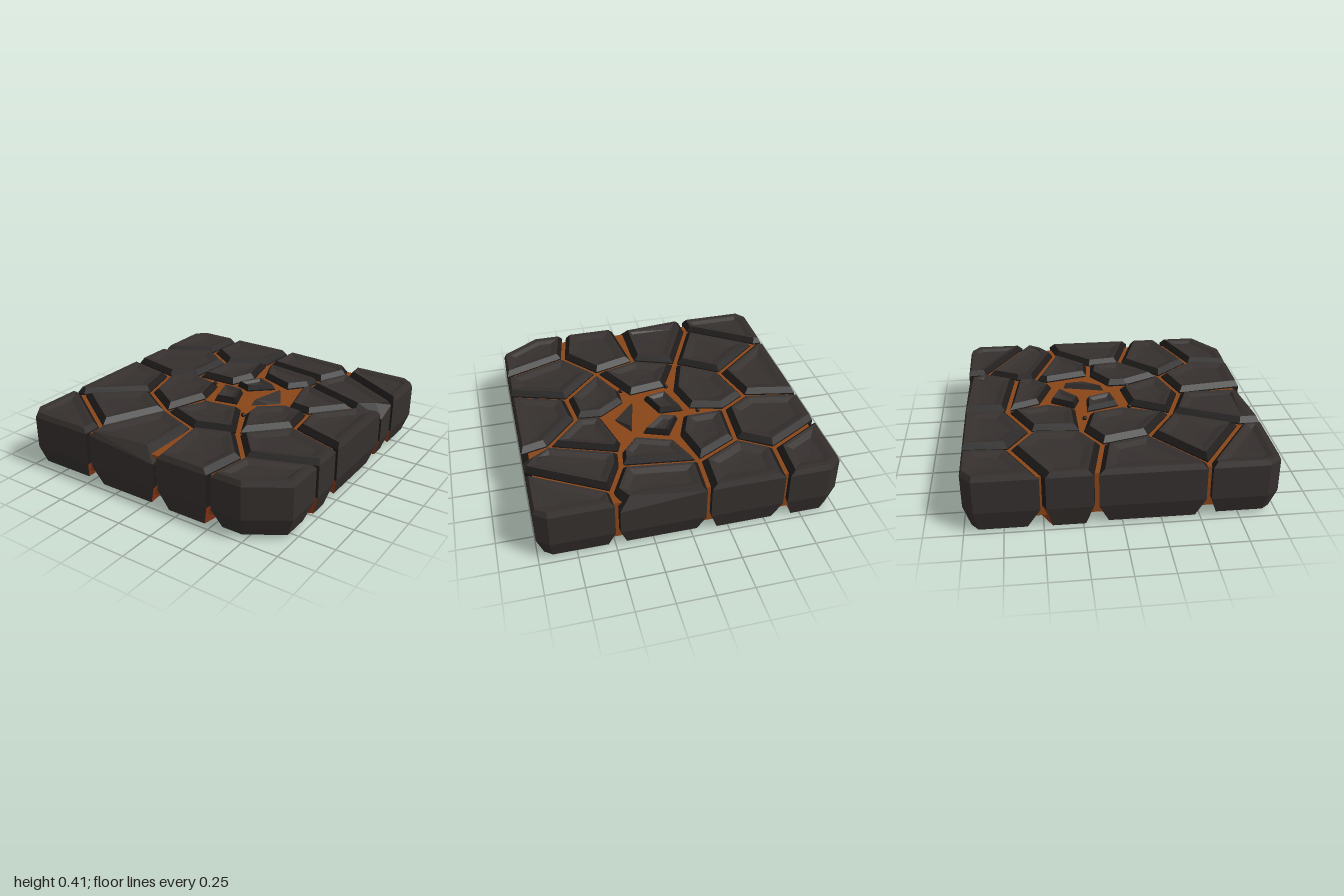
import * as THREE from 'three';
import { ConvexGeometry } from 'three/addons/geometries/ConvexGeometry.js';

// Points where the cracks meet, as [x, z]
const J = {
  A: [-0.635, -0.7], B: [-0.415, -0.555], C: [-0.115, -0.71], D: [0.39, -0.64],
  E: [0.5, -0.865], F: [0.37, -0.505], G: [0.82, -0.335], H: [0.59, -0.08],
  I: [-0.44, -0.215], J: [-0.635, -0.095], K: [-0.55, 0.225], L: [-0.935, 0.54],
  M: [-0.465, 0.86], N: [-0.255, 0.42], O: [0.045, 0.535], P: [0.35, 0.44],
  Q: [0.62, 0.165], R: [0.565, 0.7],
  // where cracks reach the border: north, east, south, west
  n1: [-0.62, -1], n2: [-0.1, -1], n3: [0.49, -1],
  e1: [1, -0.57], e2: [1, -0.38], e3: [1, 0.29], e4: [1, 0.54],
  s1: [-0.46, 1], s2: [0.1, 1], s3: [0.51, 1],
  w1: [-1, -0.5], w2: [-1, -0.17], w3: [-1, 0.54],
  // cut corners of the tile
  a1: [-1, -0.93], a2: [-0.91, -1], b1: [0.92, -1], b2: [1, -0.94],
  c1: [1, 0.83], c2: [0.74, 1], d1: [-0.94, 1], d2: [-1, 0.92],
  // edge of the open pool in the middle
  p1: [0.33, -0.415], p2: [0.41, -0.1], p3: [0.22, 0.03], p4: [0.22, 0.17],
  p5: [0.17, 0.1], p6: [-0.11, 0.14], p7: [-0.14, 0.09], p8: [-0.2, -0.15],
  p9: [-0.13, -0.22], q1: [-0.05, -0.42], q2: [-0.02, -0.47], q3: [0.25, -0.37],
  // two small islands
  i1: [0, -0.42], i2: [0.2, -0.34], i3: [0.02, -0.18], i4: [-0.12, -0.23],
  k1: [-0.18, -0.17], k2: [0.02, -0.16], k3: [0.1, 0.05], k4: [-0.1, 0.09],
};
const CELLS = [
  'w1 a1 a2 n1 A', 'n1 n2 C B A', 'n2 n3 E D C', 'n3 b1 b2 e1 E', 'E e1 e2 G F D',
  'F G H p2 p1', 'G e2 e3 Q H', 'p3 p2 H Q P p4', 'Q e3 e4 R P', 'R e4 c1 c2 s3',
  'O P R s3 s2', 'N O s2 s1 M', 'L M s1 d1 d2 w3', 'K N M L', 'w2 J K L w3',
  'w1 A B I J w2', 'B C q1 p9 I', 'J I p8 p7 N K', 'p6 p5 P O N', 'C D F q3 q2',
  'i1 i2 i3 i4', 'k1 k2 k3 k4',
];
// Broken corners: cell index -> corner name
const CHIPS = { 2: 'n3', 4: 'e2', 11: 's2' };

const onBorder = p => Math.max(Math.abs(p[0]), Math.abs(p[1])) > 0.999;

// Moves every edge of a clockwise polygon inwards by its own distance
function inset(pts, dist) {
  const n = pts.length;
  const lines = pts.map((p, i) => {
    const q = pts[(i + 1) % n], l = Math.hypot(q[0] - p[0], q[1] - p[1]);
    const nx = -(q[1] - p[1]) / l, nz = (q[0] - p[0]) / l;
    return [nx, nz, nx * p[0] + nz * p[1] + dist[i]];
  });
  const meet = (a, b) => {
    const det = a[0] * b[1] - a[1] * b[0];
    return [(a[2] * b[1] - b[2] * a[1]) / det, (a[0] * b[2] - b[0] * a[2]) / det];
  };
  const out = lines.map((l, i) => meet(lines[(i + n - 1) % n], l));
  // an edge that has shrunk away becomes one point
  lines.forEach((l, i) => {
    const k = (i + 1) % n;
    const dot = (out[k][0] - out[i][0]) * l[1] - (out[k][1] - out[i][1]) * l[0];
    if (dot < 0) out[i] = out[k] = meet(lines[(i + n - 1) % n], lines[k]);
  });
  return out;
}

function mesh(name, geometry, material) {
  const m = new THREE.Mesh(geometry, material);
  m.name = name;
  return m;
}

function facets(tris) {
  const g = new THREE.BufferGeometry();
  g.setAttribute('position', new THREE.Float32BufferAttribute(tris.flat(), 3));
  g.computeVertexNormals();
  return g;
}

// One stone: stacked insets of its outline, with the top slightly dished
function stone(index, mats) {
  const names = CELLS[index].split(' ');
  const pts = names.map(k => J[k]);
  const n = pts.length;
  const area = pts.reduce((s, p, i) => {
    const q = pts[(i + 1) % n];
    return s + p[0] * q[1] - q[0] * p[1];
  }, 0);
  if (area < 0) { pts.reverse(); names.reverse(); }

  const border = pts.map((p, i) => onBorder(p) && onBorder(pts[(i + 1) % n]));
  const base = inset(pts, border.map(b => (b ? 0 : 0.016)));
  const c = [0, 1].map(a => base.reduce((s, p) => s + p[a], 0) / n);
  const reach = Math.min(...base.map((p, i) => {
    const q = base[(i + 1) % n];
    return Math.abs((q[0] - p[0]) * (c[1] - p[1]) - (q[1] - p[1]) * (c[0] - p[0]))
      / Math.hypot(q[0] - p[0], q[1] - p[1]);
  }));
  const s = Math.min(1, reach / 0.17);
  const bottom = 0.005 + (index * 7 % 5) * 0.004 + (1 - s) * 0.06;

  // [height, inset at cracks, inset at the border]
  const rings = [
    [bottom, 0.055 * s, 0.045], [0.16, 0, 0], [0.385, 0, 0],
    [0.42, 0.034 * s, 0.016], [0.416, 0.055 * s, 0.05], [0.4, 0.1 * s, 0.1 * s],
  ].map(([y, crack, edge]) =>
    inset(base, border.map(b => (b ? edge : crack))).map(p => [p[0], y, p[1]]));

  const chip = names.indexOf(CHIPS[index]);
  if (chip >= 0) {
    rings[2][chip][1] = 0.33;
    for (const r of [3, 4]) {
      const p = rings[r][chip];
      p[0] += (c[0] - p[0]) * 0.2;
      p[2] += (c[1] - p[2]) * 0.2;
    }
  }

  const rock = [], dark = [], glow = [];
  for (let r = 0; r < rings.length - 1; r++) {
    for (let i = 0; i < n; i++) {
      const k = (i + 1) % n, lo = rings[r], hi = rings[r + 1];
      const part = border[i] || r > 2 ? rock : r === 0 ? glow : dark;
      part.push(...lo[i], ...hi[i], ...hi[k], ...lo[i], ...hi[k], ...lo[k]);
    }
  }
  const top = rings[rings.length - 1];
  for (let i = 0; i < n; i++) {
    const k = (i + 1) % n;
    rock.push(c[0], 0.393, c[1], ...top[k], ...top[i]);
    dark.push(c[0], bottom, c[1], ...rings[0][i], ...rings[0][k]);
  }

  const g = new THREE.Group();
  g.name = 'stone' + (index + 1);
  g.add(mesh('stoneTop', facets(rock), mats.rock),
    mesh('crackWall', facets(dark), mats.dark),
    mesh('glowingUnderside', facets(glow), mats.glow));
  return g;
}

export function createModel() {
  const mat = color => new THREE.MeshStandardMaterial({ color, flatShading: true });
  const mats = { rock: mat(0x35302e), dark: mat(0x1d1a19), glow: mat(0x93391a), lava: mat(0x8a4518) };
  const group = new THREE.Group();
  group.name = 'crackedLavaTile';

  // Lava slab, set back a little from the border
  const outline = ['a1', 'a2', 'b1', 'b2', 'c1', 'c2', 'd1', 'd2']
    .map(k => new THREE.Vector2(J[k][0] * 0.957, -J[k][1] * 0.957));
  const slab = new THREE.ExtrudeGeometry(new THREE.Shape(outline), { depth: 0.285, bevelEnabled: false });
  slab.rotateX(-Math.PI / 2).translate(0, 0.09, 0);
  group.add(mesh('lava', slab, mats.lava));

  CELLS.forEach((_, i) => group.add(stone(i, mats)));

  // Tilted shard in the middle of the pool
  const shard = [
    [0.24, 0.34, -0.31], [0.34, 0.34, -0.14], [0.16, 0.34, 0.02],
    [0.245, 0.415, -0.28], [0.325, 0.385, -0.15], [0.185, 0.415, -0.03],
  ].map(p => new THREE.Vector3(...p));
  group.add(mesh('shard', new ConvexGeometry(shard), mats.rock));

  // Loose pebbles
  for (const [x, z] of [[-0.26, -0.18], [-0.115, 0.15], [0.22, 0.175]]) {
    const pebble = mesh('pebble', new THREE.IcosahedronGeometry(0.016, 1), mats.dark);
    pebble.position.set(x, 0.385, z);
    group.add(pebble);
  }
  return group;
}
